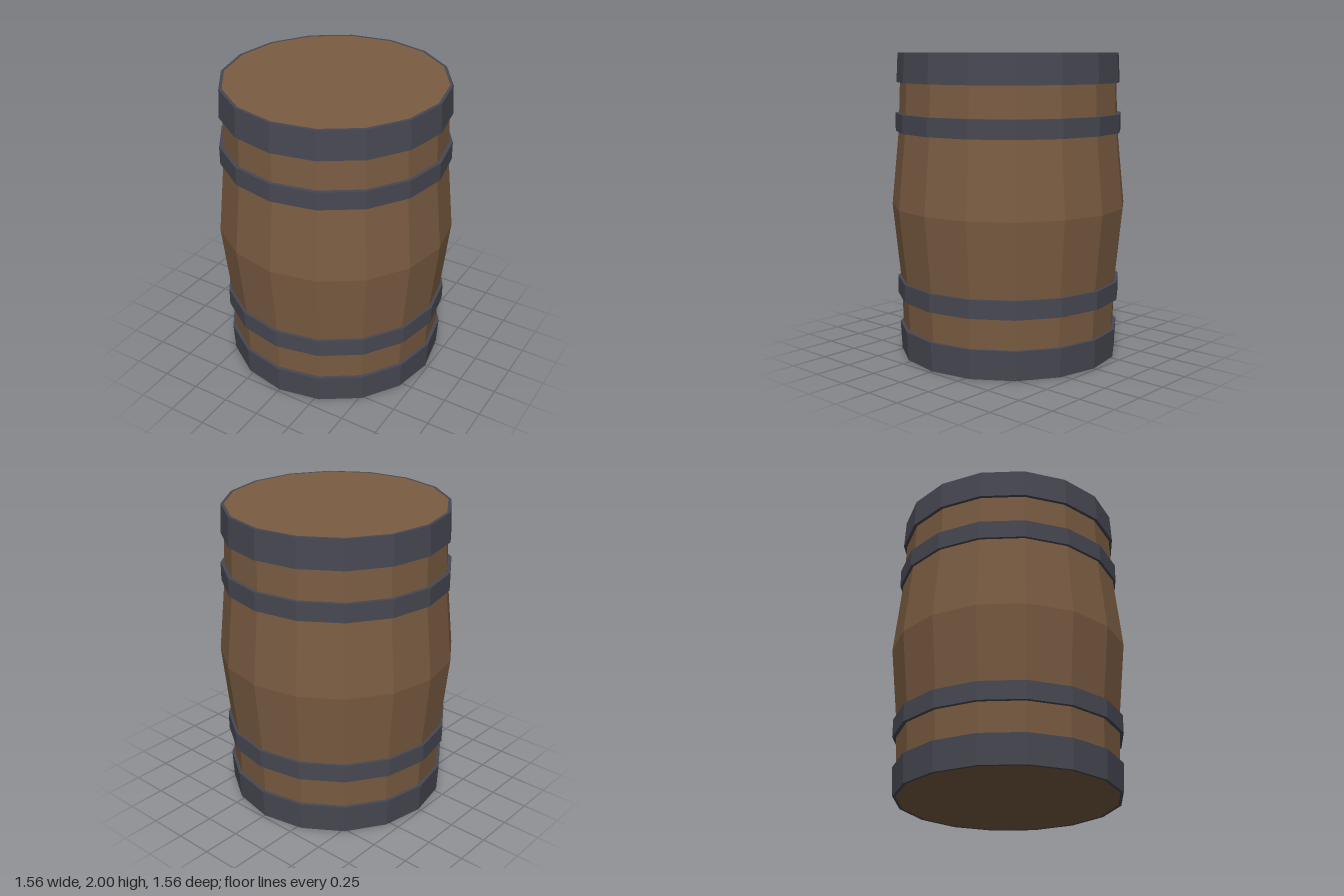
import * as THREE from 'three';

const SIDES = 16;

// Revolves a profile of [radius, height] pairs, listed bottom to top on the outside.
function lathe(name, profile, material) {
  const points = profile.map(([r, y]) => new THREE.Vector2(r, y));
  const geometry = new THREE.LatheGeometry(points, SIDES).toNonIndexed();
  geometry.computeVertexNormals(); // flat facets
  const mesh = new THREE.Mesh(geometry, material);
  mesh.name = name;
  return mesh;
}

// Closed ring with an inner wall, so its rims have thickness.
function hoop(name, bottom, top, rBottom, rTop, rInner, material) {
  return lathe(name, [
    [rInner, bottom], [rBottom, bottom], [rTop, top], [rInner, top], [rInner, bottom],
  ], material);
}

export function createModel() {
  const wood = new THREE.MeshStandardMaterial({ color: 0x7a5c42 });
  wood.name = 'brown wood';
  const iron = new THREE.MeshStandardMaterial({ color: 0x484853 });
  iron.name = 'dark iron';

  const barrel = new THREE.Group();
  barrel.name = 'barrel';

  // Bulging staves with flat lids at both ends
  barrel.add(lathe('barrelBody', [
    [0, 0], [0.71, 0], [0.73, 0.5], [0.78, 1], [0.73, 1.5], [0.71, 2], [0, 2],
  ], wood));

  // End hoops taper slightly towards the lids
  barrel.add(hoop('topEndHoop', 1.81, 2, 0.74, 0.73, 0.71, iron));
  barrel.add(hoop('bottomEndHoop', 0, 0.19, 0.73, 0.74, 0.71, iron));

  // Narrow straight hoops between the ends and the bulge
  barrel.add(hoop('upperHoop', 1.49, 1.61, 0.75, 0.75, 0.71, iron));
  barrel.add(hoop('lowerHoop', 0.39, 0.51, 0.75, 0.75, 0.71, iron));

  return barrel;
}
